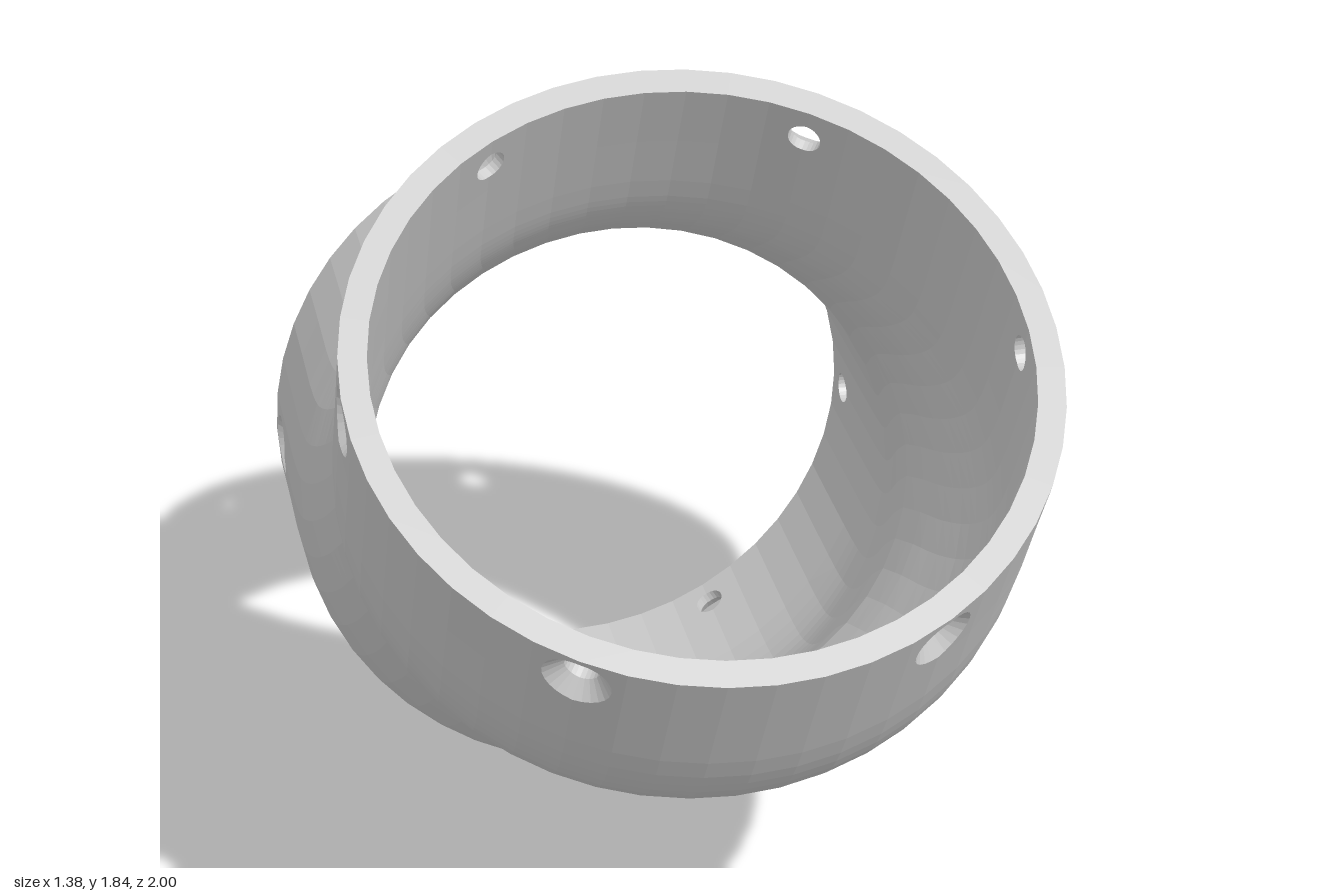
import * as THREE from 'three';

const SIDES = 48, STEP = (Math.PI * 2) / SIDES;
const R = 0.69, WALL = 0.055, BAND = 0.16; // pipe radius, wall, drilled end band
const END = -1, MID_Y = 0.69;

// Mirror plane of the 60 degree bend
const BEND = new THREE.Vector3(0, MID_Y, -0.067);
const NORMAL = new THREE.Vector3(0, 0.5, Math.sqrt(0.75));

// Cross-sections of half the elbow: [half width, crown y, crown z, belly y, belly z]
const SECTIONS = [
  [0.69, 1.38, END + BAND, 0, END + BAND],
  [0.69, 1.38, -0.65, 0.003, -0.63],
  [0.685, 1.385, -0.6, 0.027, -0.5],
  [0.673, 1.392, -0.57, 0.09, -0.37],
  [0.655, 1.4, -0.545, 0.209, -0.2],
  [0.642, 1.411, -0.52, 0.335, -0.05],
  [0.635, 1.425, -0.491, 0.434, 0.081],
];

// Point on the faceted end cylinder
function onPipe(angle, radius, z) {
  const inFacet = angle - Math.floor(angle / STEP) * STEP - STEP / 2;
  const r = (radius * Math.cos(STEP / 2)) / Math.cos(inFacet);
  return new THREE.Vector3(r * Math.cos(angle), MID_Y + r * Math.sin(angle), z);
}

const quad = (out, a, b, c, d) => out.push(a, b, c, a, c, d);

// Joins closed rings of equal point count
function loft(out, rings, flip = false) {
  for (let i = 0; i < rings.length - 1; i++) {
    const p = rings[i], q = rings[i + 1], n = p.length;
    for (let j = 0; j < n; j++) {
      const k = (j + 1) % n;
      if (flip) quad(out, p[j], q[j], q[k], p[k]);
      else quad(out, p[j], p[k], q[k], q[j]);
    }
  }
}

// Elliptical ring through a crown and a belly point, shrunk by inset
function sectionRing(crown, belly, inset) {
  const width = crown.x - inset;
  const mid = new THREE.Vector3(0, (crown.y + belly.y) / 2, (crown.z + belly.z) / 2);
  const up = new THREE.Vector3(0, crown.y - mid.y, crown.z - mid.z);
  up.setLength(up.length() - inset);
  return Array.from({ length: SIDES }, (_, j) => {
    const a = j * STEP;
    return mid.clone().addScaledVector(up, Math.sin(a)).setX(width * Math.cos(a));
  });
}

// Square tile of the band with a countersunk screw hole through the wall
function screwHole(out, angle) {
  const ring = (size, radius) => Array.from({ length: 24 }, (_, i) => {
    const a = (i / 24) * Math.PI * 2, c = Math.cos(a), s = Math.sin(a);
    const k = 1 / Math.max(Math.abs(c), Math.abs(s));
    const u = size ? (c * size) / R : c * k * STEP;
    const v = size ? s * size : (s * k * BAND) / 2;
    return onPipe(angle + u, radius, END + BAND / 2 + v);
  });
  loft(out, [
    ring(0, R), ring(0.068, R), ring(0.037, R - 0.032),
    ring(0.037, R - WALL), ring(0, R - WALL),
  ]);
}

function halfElbow() {
  const out = [];
  // Drilled end band and its flat rim
  for (let j = 0; j < SIDES; j++) {
    const a = j * STEP, b = a + STEP;
    const z0 = END, z1 = END + BAND, r = R - WALL;
    quad(out, onPipe(a, R, z0), onPipe(a, r, z0), onPipe(b, r, z0), onPipe(b, R, z0));
    const slot = j % 8;
    if (slot === 0) screwHole(out, a);
    if (slot === 0 || slot === 7) continue;
    quad(out, onPipe(a, R, z0), onPipe(b, R, z0), onPipe(b, R, z1), onPipe(a, R, z1));
    quad(out, onPipe(a, r, z0), onPipe(a, r, z1), onPipe(b, r, z1), onPipe(b, r, z0));
  }
  // Body narrowing to the waist, outside and inside
  const crown = new THREE.CatmullRomCurve3(SECTIONS.map((s) => new THREE.Vector3(s[0], s[1], s[2])));
  const belly = new THREE.CatmullRomCurve3(SECTIONS.map((s) => new THREE.Vector3(s[0], s[3], s[4])));
  const rows = 18;
  for (const inset of [0, WALL]) {
    const rings = [];
    for (let i = 0; i <= rows; i++) {
      rings.push(sectionRing(crown.getPoint(i / rows), belly.getPoint(i / rows), inset));
    }
    loft(out, rings, inset > 0);
  }
  return out;
}

function toMesh(points, name, material) {
  const geometry = new THREE.BufferGeometry().setFromPoints(points);
  geometry.computeVertexNormals();
  const mesh = new THREE.Mesh(geometry, material);
  mesh.name = name;
  return mesh;
}

export function createModel() {
  const group = new THREE.Group();
  group.name = 'pipeElbow';
  const material = new THREE.MeshStandardMaterial({ color: 0xcccccc, flatShading: true });

  const back = halfElbow();
  // Upper half: the back half mirrored across the bend plane, corners reversed
  const upper = back.map((p) => {
    const d = p.clone().sub(BEND).dot(NORMAL);
    return p.clone().addScaledVector(NORMAL, -2 * d);
  }).reverse();

  group.add(toMesh(back, 'backSocket', material), toMesh(upper, 'upperSocket', material));
  return group;
}
